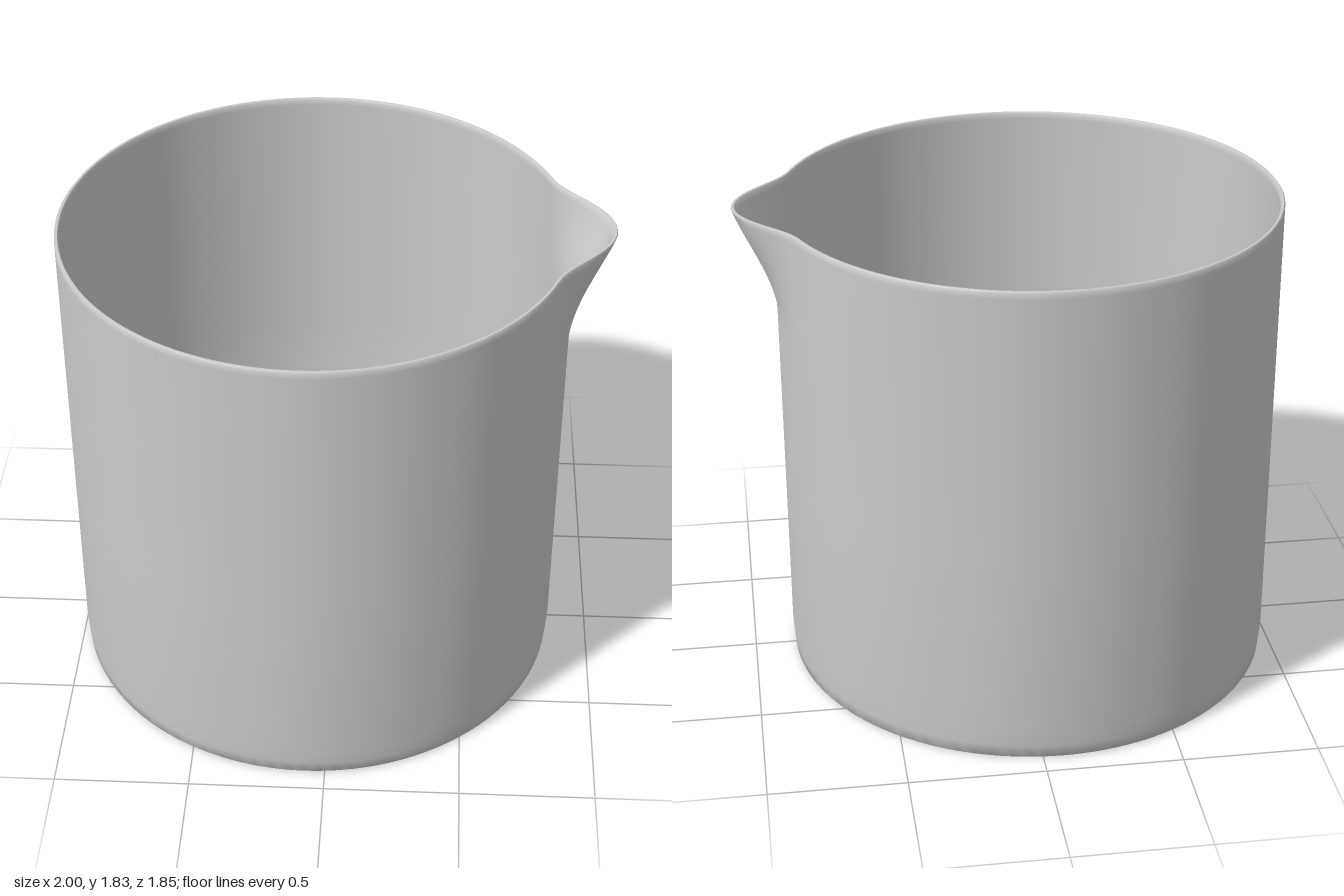
import * as THREE from 'three';
import { mergeVertices, toCreasedNormals } from 'three/addons/utils/BufferGeometryUtils.js';

const RADIUS = 0.925, HEIGHT = 1.83, WALL = 0.016;
const SPOUT_BASE = 1.42, SPOUT_REACH = 0.15, SPOUT_HALF_ANGLE = 0.38;

// How far the wall is pushed outward at a given angle and height
function spoutOffset(angle, y) {
  if (y <= SPOUT_BASE || Math.abs(angle) >= SPOUT_HALF_ANGLE) return 0;
  const t = Math.min(1, (y - SPOUT_BASE) / (HEIGHT - SPOUT_BASE));
  const rise = 0.5 * (t * t + t * t * (3 - 2 * t));
  const across = 0.5 + 0.5 * Math.cos(Math.PI * angle / SPOUT_HALF_ANGLE);
  return SPOUT_REACH * rise * across;
}

export function createModel() {
  const group = new THREE.Group();
  group.name = 'pouringBeaker';

  // Closed wall profile: underside, outer wall, rounded rim, inner wall, floor
  const inner = RADIUS - WALL;
  const profile = [[0, 0], [0.912, 0], [0.917, 0.006], [0.921, 0.05], [RADIUS, 0.11], [RADIUS, 0.8]];
  const steps = 20;
  const top = HEIGHT - 0.005;
  const heights = Array.from({ length: steps + 1 }, (_, i) => 1.4 + (top - 1.4) * i / steps);
  heights.forEach((y) => profile.push([RADIUS, y]));
  profile.push([RADIUS - 0.004, HEIGHT], [inner + 0.004, HEIGHT]);
  heights.reverse().forEach((y) => profile.push([inner, y]));
  profile.push([inner, 0.8], [inner, 0.06], [inner - 0.008, 0.03], [inner - 0.025, 0.02], [0, 0.02]);

  const lathe = new THREE.LatheGeometry(
    profile.map(([r, y]) => new THREE.Vector2(r, y)), 192, -Math.PI / 2);

  // Pull the pouring spout out of the wall toward +x
  const pos = lathe.attributes.position;
  for (let i = 0; i < pos.count; i++) {
    const x = pos.getX(i), y = pos.getY(i), z = pos.getZ(i);
    const angle = Math.atan2(z, x);
    const r = Math.hypot(x, z) + spoutOffset(angle, y);
    pos.setXYZ(i, r * Math.cos(angle), y, r * Math.sin(angle));
  }
  lathe.deleteAttribute('normal');
  lathe.deleteAttribute('uv');
  const geometry = toCreasedNormals(mergeVertices(lathe, 1e-5), 0.7);

  const vessel = new THREE.Mesh(geometry, new THREE.MeshStandardMaterial({ color: 0xcccccc }));
  vessel.name = 'vesselWithSpout';
  vessel.position.x = -SPOUT_REACH / 2;
  group.add(vessel);
  return group;
}
